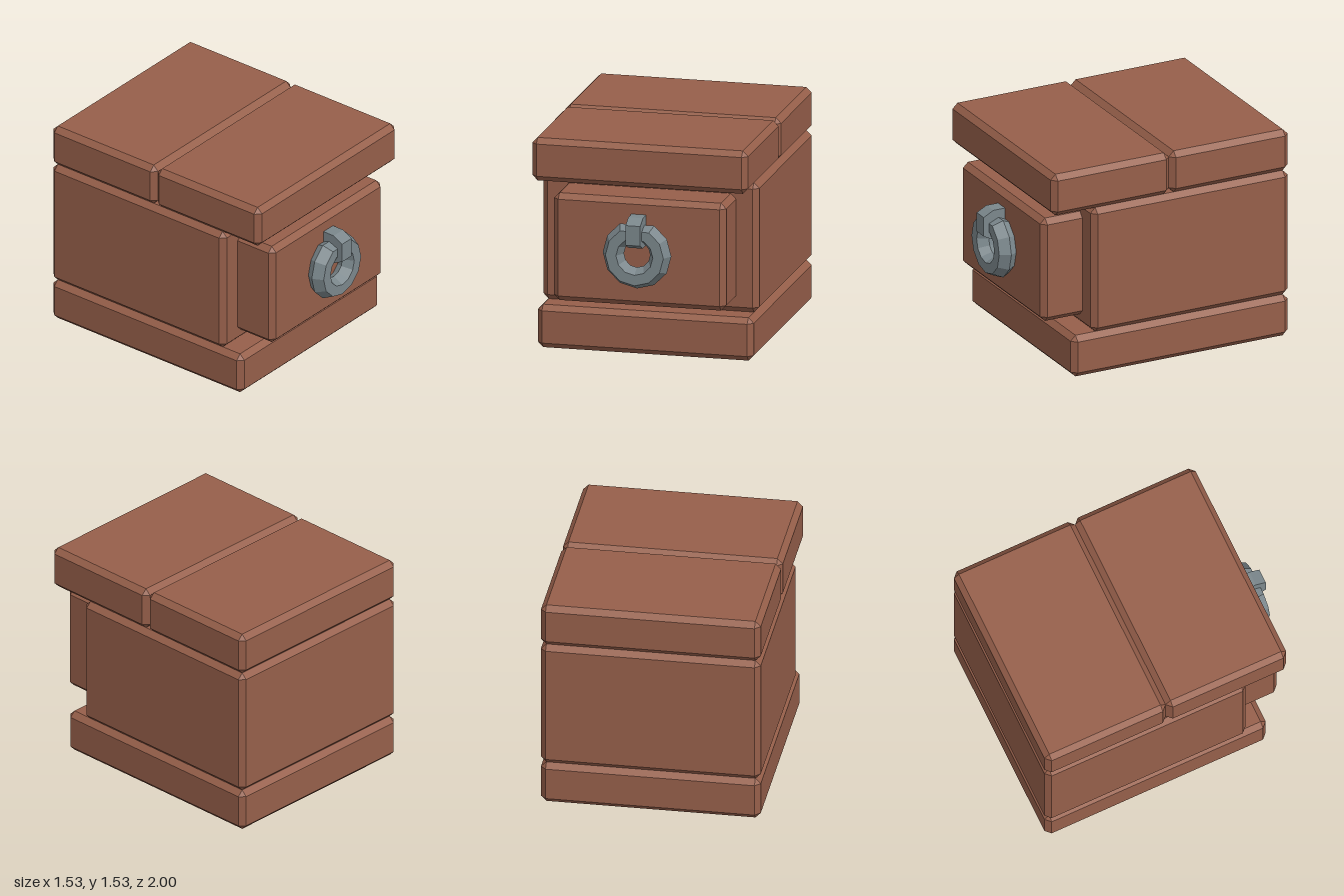
import * as THREE from 'three';
import { ConvexGeometry } from 'three/addons/geometries/ConvexGeometry.js';

// Box with flat chamfers on every edge, given by its min and max corners
function chamferBox(min, max, bevel = 0.038) {
  const half = min.map((v, i) => (max[i] - v) / 2);
  const mid = min.map((v, i) => (max[i] + v) / 2);
  const points = [];
  for (let axis = 0; axis < 3; axis++)
    for (const sx of [-1, 1]) for (const sy of [-1, 1]) for (const sz of [-1, 1]) {
      const p = [sx, sy, sz].map((s, i) => mid[i] + s * (half[i] - (i === axis ? 0 : bevel)));
      points.push(new THREE.Vector3(...p));
    }
  return new ConvexGeometry(points);
}

export function createModel() {
  const model = new THREE.Group();
  model.name = 'drawerCabinet';
  const wood = new THREE.MeshStandardMaterial({ color: 0x965f4a });
  wood.name = 'brown wood';
  const metal = new THREE.MeshStandardMaterial({ color: 0x7b878c });
  metal.name = 'grey metal';

  const add = (name, geometry, material) => {
    const mesh = new THREE.Mesh(geometry, material);
    mesh.name = name;
    model.add(mesh);
    return mesh;
  };

  // Wooden blocks: base, body, drawer and two top planks
  const W = 0.765;
  add('base', chamferBox([-W, 0, -1], [W, 0.305, 0.68]), wood);
  add('body', chamferBox([-W, 0.305, -1], [W, 1.225, 0.527]), wood);
  add('drawer', chamferBox([-0.61, 0.385, 0.4], [0.61, 1.148, 0.835]), wood);
  add('backTopPlank', chamferBox([-W, 1.225, -1], [W, 1.53, -0.08]), wood);
  add('frontTopPlank', chamferBox([-W, 1.225, -0.08], [W, 1.53, 0.835]), wood);

  // Twelve-sided pull ring, flattened at the top where the bracket grips it
  const torus = new THREE.TorusGeometry(0.168, 0.075, 6, 12);
  const pos = torus.attributes.position;
  for (let i = 0; i < pos.count; i++)
    if (Math.abs(pos.getX(i)) < 0.001 && pos.getY(i) > 0)
      pos.setY(i, pos.getY(i) * Math.cos(Math.PI / 6));
  torus.scale(1, 1, 1.15);
  const ringGeometry = torus.toNonIndexed();
  ringGeometry.computeVertexNormals();
  add('pullRing', ringGeometry, metal).position.set(0, 0.77, 0.885);

  // Bracket holding the ring: side profile extruded across x
  const profile = [[0.82, 0.825], [0.93, 0.825], [1, 0.86], [1, 1], [0.925, 1.04], [0.82, 1.04]];
  const shape = new THREE.Shape(profile.map(([z, y]) => new THREE.Vector2(-z, y)));
  const bracket = new THREE.ExtrudeGeometry(shape, { depth: 0.104, bevelEnabled: false });
  bracket.translate(0, 0, -0.052).rotateY(Math.PI / 2);
  add('ringBracket', bracket, metal);

  return model;
}
